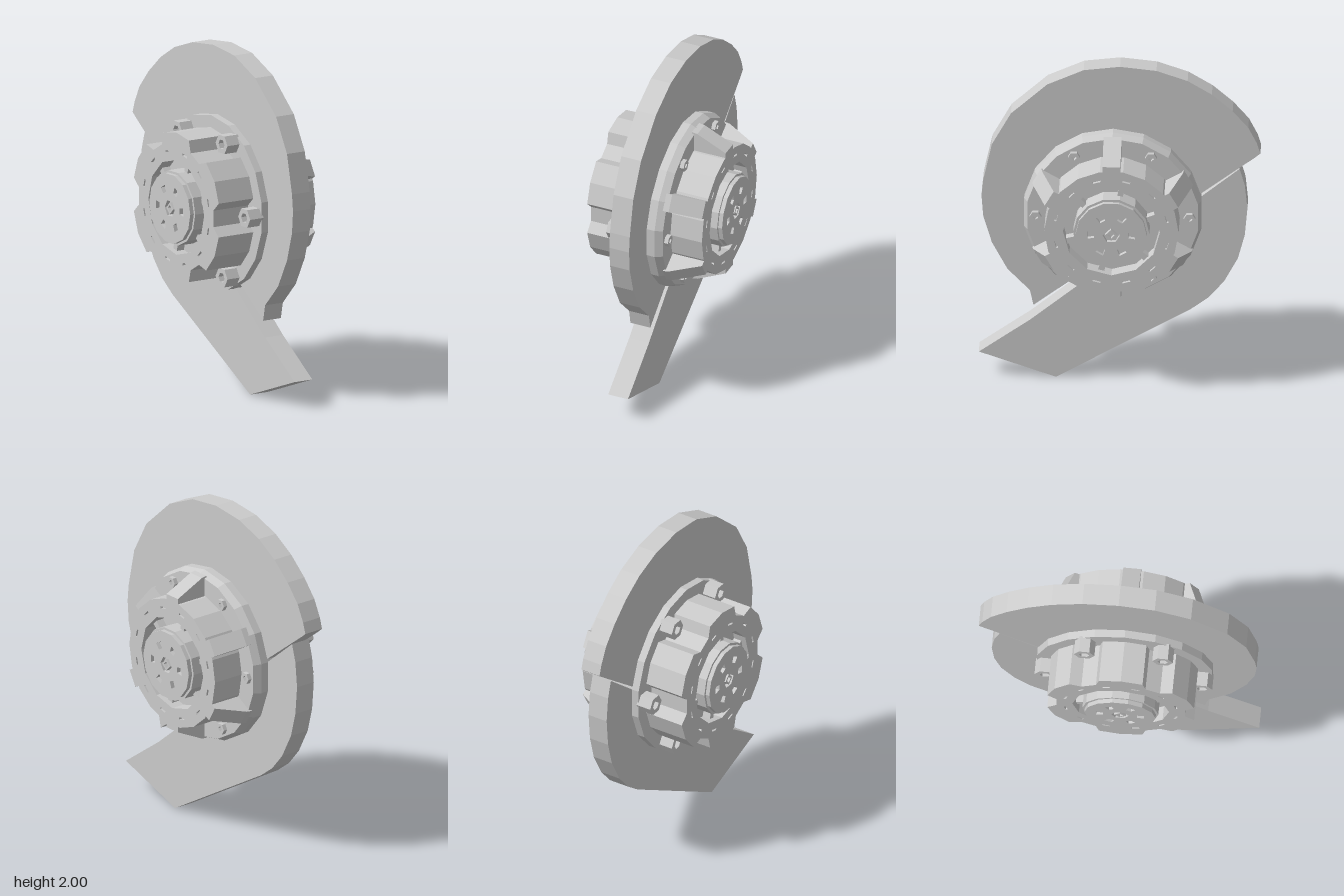
import * as THREE from 'three';

const mat = new THREE.MeshStandardMaterial({ color: 0xcccccc, flatShading: true });

function part(name, geo, parent) {
  const m = new THREE.Mesh(geo, mat);
  m.name = name;
  parent.add(m);
  return m;
}

// Regular polygon points
function ring(r, n, cx = 0, cy = 0, turn = 0) {
  return Array.from({ length: n }, (_, i) => {
    const a = turn + (i / n) * Math.PI * 2;
    return new THREE.Vector2(cx + r * Math.cos(a), cy + r * Math.sin(a));
  });
}

// Outline with holes, extruded along the axle from w0 to w1
function slab(points, holes, w0, w1) {
  const s = new THREE.Shape(points);
  holes.forEach(h => s.holes.push(new THREE.Path(h)));
  return new THREE.ExtrudeGeometry(s, { depth: w1 - w0, bevelEnabled: false }).translate(0, 0, w0);
}

// Arc-shaped slot or wedge hole, centred on angle a
function slot(r0, r1, a, half) {
  const p = (r, t) => new THREE.Vector2(r * Math.cos(t), r * Math.sin(t));
  return [p(r0, a - half), p(r1, a - half), p(r1, a + half), p(r0, a + half)];
}

const around = (n, f, start = 0) =>
  Array.from({ length: n }, (_, i) => f(start + (i / n) * Math.PI * 2));

// One end of the hub, pointing along +axle
function hubEnd(name, outline) {
  const g = new THREE.Group();
  g.name = name;
  part('hubBarrel', slab(outline, [ring(0.28, 12)], 0.1, 0.335), g);
  const slots = around(12, a => slot(0.325, 0.337, a, 0.07), Math.PI / 12);
  part('facePlate', slab(outline, [ring(0.28, 12), ...slots], 0.335, 0.354), g);
  part('grooveFloor', slab(ring(0.3, 12), [], 0.1, 0.27), g);
  // Ribs crossing the groove
  around(6, a => part('grooveRib', slab(slot(0.19, 0.29, a, 0.07), [], 0.26, 0.32), g), 0.3);
  part('capBase', slab(ring(0.22, 14), [], 0.26, 0.375), g);
  const vents = around(6, a => slot(0.1, 0.14, a, 0.17));
  part('cap', slab(ring(0.206, 14), [ring(0.05, 6), ...vents], 0.375, 0.4), g);
  part('capNut', slab(ring(0.035, 4), [ring(0.02, 4)], 0.37, 0.4), g);
  return g;
}

export function createModel() {
  const model = new THREE.Group();
  model.name = 'bladeWheel';

  // Inner frame: local z is the axle (+x), local x is -z
  const frame = new THREE.Group();
  frame.name = 'wheelFrame';
  frame.rotation.y = Math.PI / 2;
  model.add(frame);

  const pts = list => list.map(([u, v]) => new THREE.Vector2(u, v));

  // Upper curved guard
  part('upperGuard', slab(pts([
    [0.78, 1.43], [0.81, 1.455], [0.79, 1.52], [0.74, 1.62], [0.65, 1.725], [0.53, 1.83], [0.39, 1.915],
    [0.21, 1.977], [0, 2], [-0.21, 1.975], [-0.42, 1.88], [-0.63, 1.69], [-0.74, 1.49],
    [-0.79, 1.26], [-0.8, 1.16], [-0.79, 1.03], [-0.74, 0.86], [-0.65, 0.69], [-0.52, 0.555], [-0.5, 0.46],
  ]), [], -0.065, 0.06), frame);

  // Lower curved guard with a straight tongue
  part('lowerGuard', slab(pts([
    [0.69, 1.355], [0.47, 1.175], [-0.22, 0.61], [-0.52, 0.365], [-0.815, 0.155], [-0.37, 0],
    [0.41, 0.45], [0.51, 0.525], [0.6, 0.63], [0.68, 0.78], [0.72, 0.93], [0.735, 1.1], [0.72, 1.25],
  ]), [], -0.065, 0.06), frame);

  const hub = new THREE.Group();
  hub.name = 'hub';
  hub.position.set(-0.04, 1.083, 0);
  frame.add(hub);

  // Main rim with a bevelled outer edge
  const rimProfile = pts([[0, -0.11], [0.515, -0.11], [0.52, 0.11], [0.5, 0.155], [0, 0.155]]);
  part('rim', new THREE.LatheGeometry(rimProfile, 18).rotateX(Math.PI / 2), hub);

  // Spoked side
  hub.add(hubEnd('spokedEnd', ring(0.388, 18)));
  const spokeShape = [[0.36, 0.14], [0.505, 0.14], [0.5, 0.175], [0.415, 0.354], [0.36, 0.354]];
  around(6, a => {
    // Profile is drawn in radius and axle, then stood up and turned into place
    const geo = slab(pts(spokeShape), [], -0.052, 0.052).rotateX(Math.PI / 2);
    part('spoke', geo, hub).rotation.z = a;
  }, Math.PI / 6);
  around(6, a => {
    const nut = part('recessNut', slab(ring(0.035, 6), [ring(0.017, 4)], 0.15, 0.18), hub);
    nut.position.set(0.445 * Math.cos(a), 0.445 * Math.sin(a), 0);
  });

  // Lobed side, scalloped around each bolt
  const lobed = around(6, a => [[0.375, -0.13], [0.375, 0.13], [0.437, 0.23], [0.443, Math.PI / 6],
    [0.437, Math.PI / 3 - 0.23]].map(([r, t]) => new THREE.Vector2(r * Math.cos(a + t), r * Math.sin(a + t)))).flat();
  const back = hubEnd('lobedEnd', lobed);
  back.rotation.y = Math.PI;
  hub.add(back);
  around(6, a => {
    const bolt = part('boltSleeve', slab(ring(0.06, 6), [ring(0.03, 6)], 0.1, 0.195), back);
    bolt.position.set(0.455 * Math.cos(a), 0.455 * Math.sin(a), 0);
  });

  return model;
}
